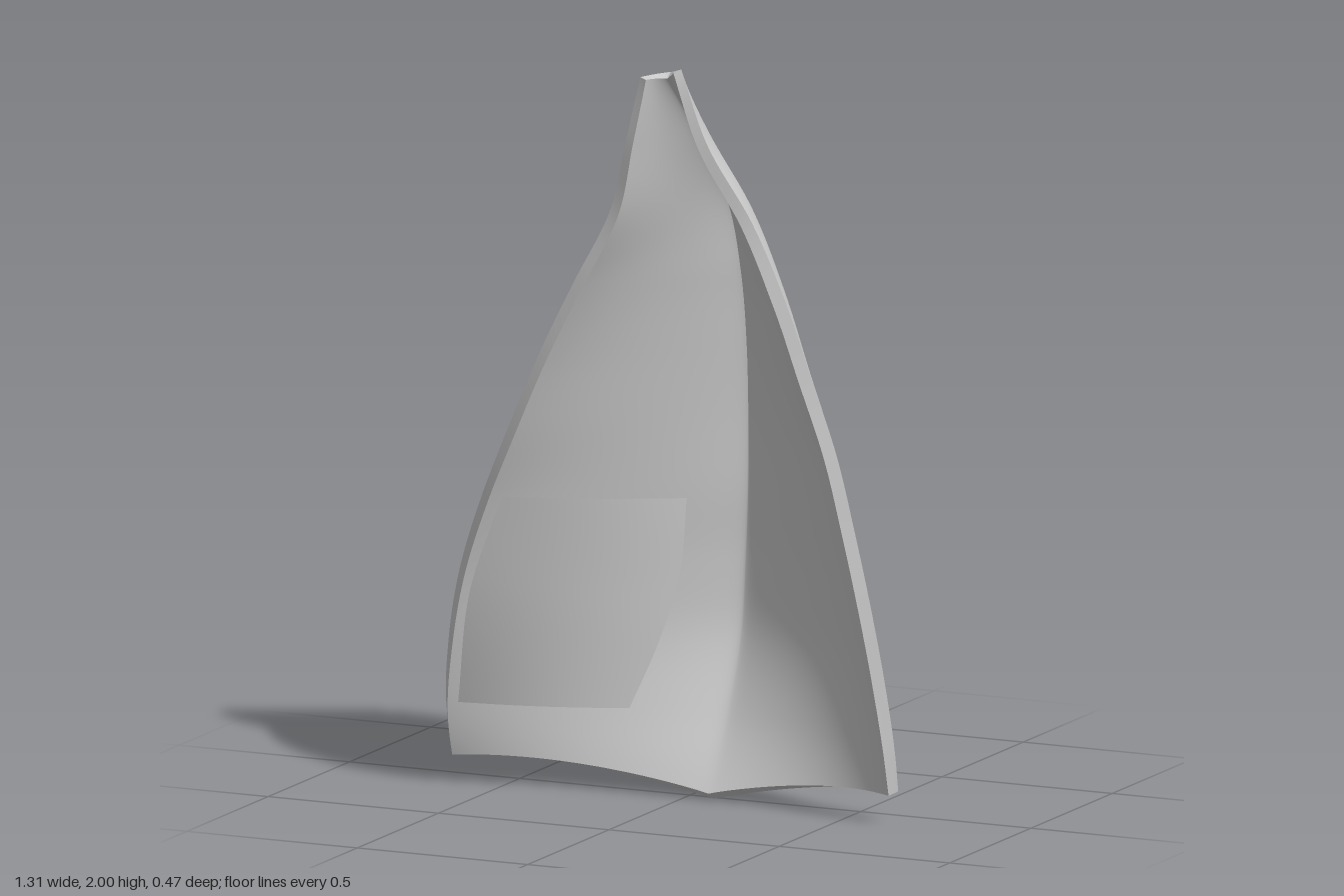
import * as THREE from 'three';

// Profiles of the shell, sampled every 0.2 units of height
const leftRimX = [0.65, 0.655, 0.638, 0.607, 0.565, 0.515, 0.44, 0.36, 0.255, 0.135, 0.055];
const rightRimX = [-0.645, -0.655, -0.63, -0.585, -0.515, -0.43, -0.345, -0.25, -0.15, -0.1, -0.055];
const leftRimZ = [0.07, 0.115, 0.145, 0.165, 0.175, 0.18, 0.178, 0.17, 0.155, 0.175, 0.17];
const rightRimZ = [0.06, 0.125, 0.165, 0.19, 0.205, 0.215, 0.21, 0.195, 0.18, 0.185, 0.175];
const ridgeX = [0.075, 0.07, 0.07, 0.07, 0.075, 0.075, 0.075, 0.07, 0.055, 0.03, 0];
const ridgeZ = [0.015, -0.11, -0.195, -0.225, -0.232, -0.235, -0.225, -0.2, -0.145, -0.01, 0.14];

// Smooth interpolation of a profile at height y
function at(table, y) {
  const f = THREE.MathUtils.clamp(y / 0.2, 0, 10);
  const i = Math.min(Math.floor(f), 9), t = f - i;
  const p1 = table[i], p2 = table[i + 1];
  const p0 = i > 0 ? table[i - 1] : 2 * p1 - p2;
  const p3 = i < 9 ? table[i + 2] : 2 * p2 - p1;
  return p1 + 0.5 * t * (p2 - p0 + t * (2 * p0 - 5 * p1 + 4 * p2 - p3 + t * (3 * (p1 - p2) + p3 - p0)));
}

// Outer skin: u runs from the right rim (0) to the left rim (1), v runs upward
function outer(u, v) {
  const side = 2 * u - 1, t = Math.abs(side), left = side > 0;
  const bottom = 0.085 * (1 - Math.pow(1 - t, 1.6));
  const top = 1.98 + (left ? 0.02 : -0.01) * t;
  const y = bottom + (top - bottom) * v;
  const rx = at(ridgeX, y), rz = at(ridgeZ, y);
  const ex = at(left ? leftRimX : rightRimX, y), ez = at(left ? leftRimZ : rightRimZ, y);
  // rounded ridge, nearly straight flank, rim curling forward
  const e = 0.025 / Math.abs(ex - rx);
  const s = (Math.sqrt(t * t + e * e) - e) / (Math.sqrt(1 + e * e) - e);
  return new THREE.Vector3(rx + (ex - rx) * t, y, rz + (ez - rz) * (0.75 * s + 0.25 * s ** 4));
}

// Inner skin: the outer one moved along its normal
function inner(u, v) {
  const d = 0.004, c = (x) => THREE.MathUtils.clamp(x, 0, 1);
  const du = outer(c(u + d), v).sub(outer(c(u - d), v));
  const dv = outer(u, c(v + d)).sub(outer(u, c(v - d)));
  const thickness = v > 0.7 ? 0.035 - 0.04 * (v - 0.7) : 0.035;
  return outer(u, v).addScaledVector(du.cross(dv).normalize(), thickness);
}

// Grid surface from a function of u and v; the front is du x dv unless flipped
function sheet(fn, nu, nv, flip = false) {
  const pos = [], index = [];
  for (let j = 0; j <= nv; j++)
    for (let i = 0; i <= nu; i++) pos.push(...fn(i / nu, j / nv).toArray());
  for (let j = 0; j < nv; j++)
    for (let i = 0; i < nu; i++) {
      const a = j * (nu + 1) + i, b = a + 1, c = a + nu + 1, d = c + 1;
      if (flip) index.push(a, c, b, b, c, d);
      else index.push(a, b, c, b, d, c);
    }
  const g = new THREE.BufferGeometry();
  g.setAttribute('position', new THREE.Float32BufferAttribute(pos, 3));
  g.setIndex(index);
  g.computeVertexNormals();
  return g;
}

export function createModel() {
  const group = new THREE.Group();
  group.name = 'ridgedShell';
  const material = new THREE.MeshStandardMaterial({ color: 0xcccccc });
  const thin = new THREE.MeshStandardMaterial({ color: 0xcccccc, side: THREE.DoubleSide });
  const add = (name, geometry, mat = material) => {
    const mesh = new THREE.Mesh(geometry, mat);
    mesh.name = name;
    group.add(mesh);
  };

  // Shell faces
  add('outerSkin', sheet(outer, 96, 72, true));
  add('innerSkin', sheet(inner, 96, 72));

  // Rims joining the two skins
  const rim = (path) => (s, w) => outer(...path(s)).lerp(inner(...path(s)), w);
  add('bottomRim', sheet(rim((s) => [s, 0]), 96, 1));
  add('topRim', sheet(rim((s) => [s, 1]), 96, 1, true));
  add('rightRim', sheet(rim((s) => [0, s]), 72, 1, true));
  add('leftRim', sheet(rim((s) => [1, s]), 72, 1));

  // Front panel spanning from the right rim toward the ridge
  const V = (x, y, z) => new THREE.Vector3(x, y, z);
  const panelOuterEdge = new THREE.CatmullRomCurve3([V(-0.6, 0.23, 0.17), V(-0.545, 0.54, 0.215), V(-0.445, 0.81, 0.225)]);
  const panelFreeEdge = new THREE.CatmullRomCurve3([V(-0.145, 0.235, 0.07), V(-0.075, 0.42, 0.03), V(-0.03, 0.6, 0), V(-0.015, 0.8, -0.01)]);
  const panel = (u, v) => {
    const p = panelOuterEdge.getPoint(v).lerp(panelFreeEdge.getPoint(v), u);
    p.z += 0.02 * Math.sin(Math.PI * u);
    return p;
  };
  add('frontPanel', sheet(panel, 20, 20), thin);

  return group;
}
